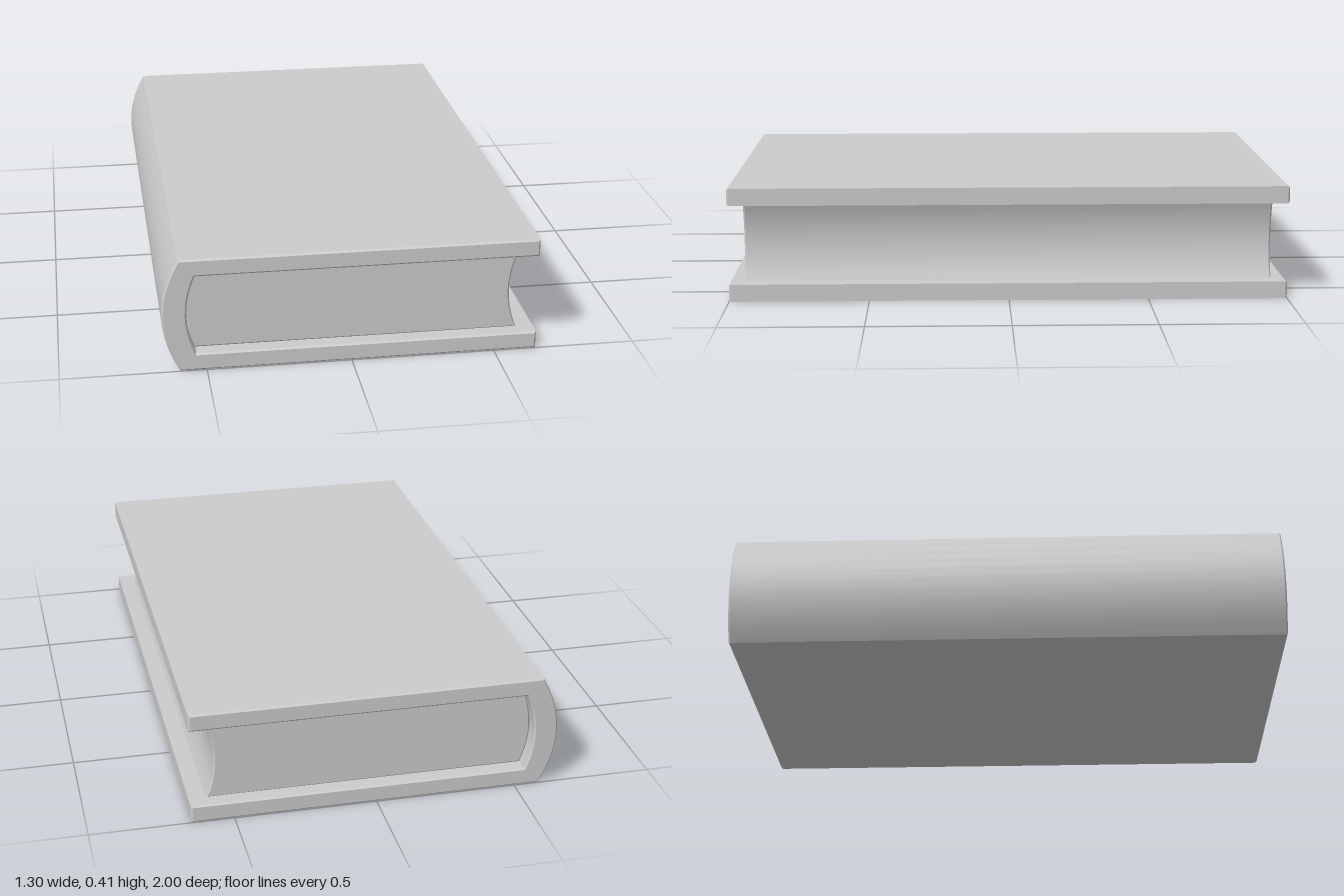
import * as THREE from 'three';
import { toCreasedNormals } from 'three/addons/utils/BufferGeometryUtils.js';

const HEIGHT = 0.41;
const BOARD = 0.062; // thickness of the cover boards
const BEVEL = 0.006;
const grey = new THREE.MeshStandardMaterial({ color: 0xcccccc });

// Bowed edge from y0 to y1, bulging towards -x by sag
function bow(x, sag, y0, y1, steps = 10) {
  const points = [];
  for (let i = 0; i <= steps; i++) {
    const t = i / steps;
    points.push(new THREE.Vector2(x - sag * 4 * t * (1 - t), y0 + (y1 - y0) * t));
  }
  return points;
}

// Extrude an outline along z, centred, with fine chamfers at both ends
function extrudePart(name, points, length) {
  const geometry = new THREE.ExtrudeGeometry(new THREE.Shape(points), {
    depth: length - 2 * BEVEL,
    bevelEnabled: true,
    bevelSize: BEVEL,
    bevelOffset: -BEVEL,
    bevelThickness: BEVEL,
    bevelSegments: 1,
  });
  geometry.translate(0, 0, -length / 2 + BEVEL);
  const mesh = new THREE.Mesh(toCreasedNormals(geometry, 0.45), grey);
  mesh.name = name;
  return mesh;
}

export function createModel() {
  const book = new THREE.Group();
  book.name = 'book';
  const low = BOARD;
  const high = HEIGHT - BOARD;

  // Cover: two boards joined by a rounded spine
  book.add(extrudePart('cover', [
    new THREE.Vector2(0.65, HEIGHT),
    ...bow(-0.59, 0.06, HEIGHT, 0),
    new THREE.Vector2(0.65, 0),
    new THREE.Vector2(0.65, low),
    ...bow(-0.535, 0.03, low, high),
    new THREE.Vector2(0.65, high),
  ], 2));

  // Page block: rounded at the spine, hollowed along the fore edge
  book.add(extrudePart('pages', [
    ...bow(-0.535, 0.03, high, low),
    ...bow(0.59, 0.03, low, high),
  ], 1.9));

  return book;
}
